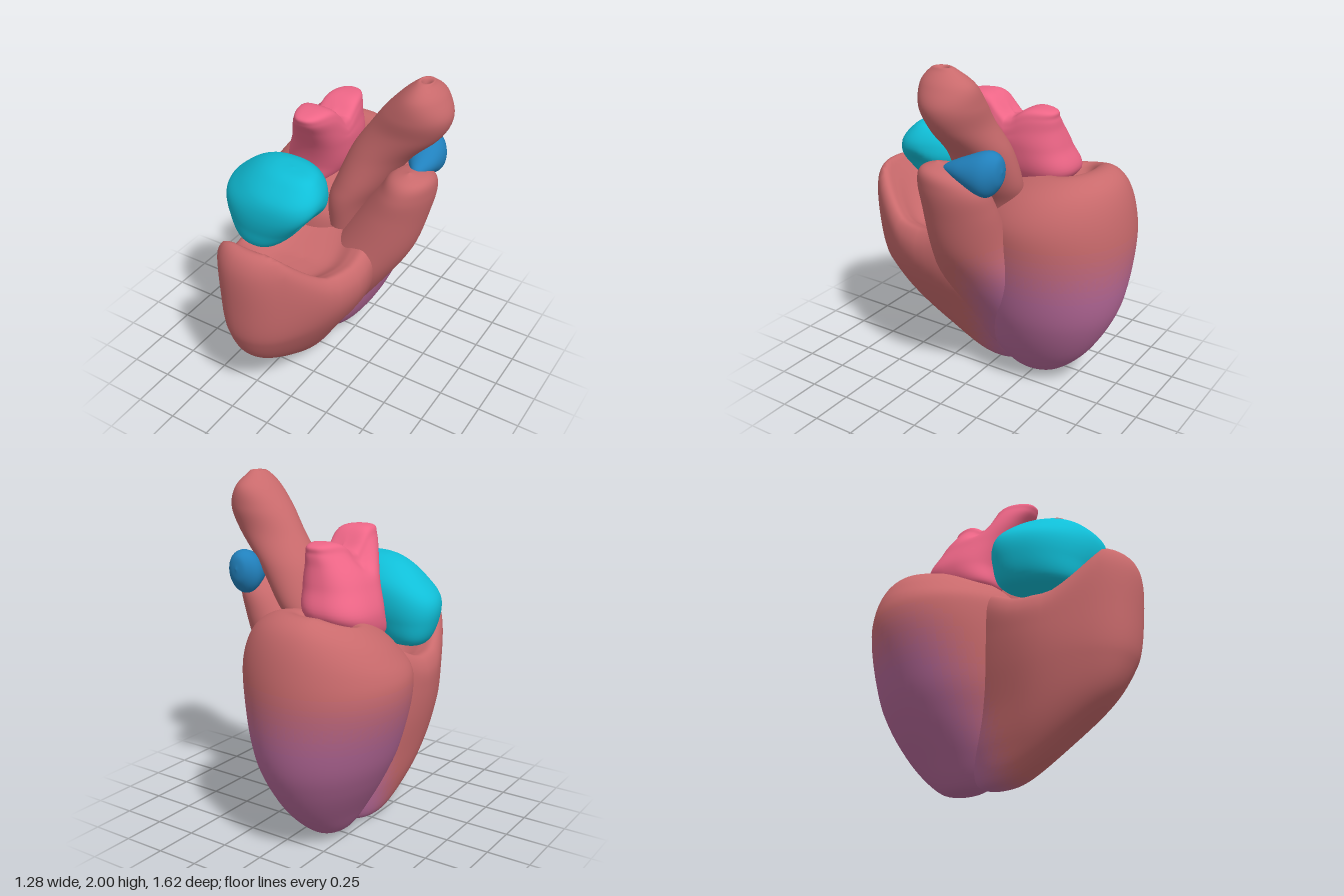
import * as THREE from 'three';

const RED = new THREE.Color(0xc96a6c);
const PURPLE = new THREE.Color(0xb56898);
const { smoothstep, clamp } = THREE.MathUtils;

// Smooth closed skin through rings [height, centreX, centreZ, radiusX, radiusZ].
// skew leans each ring sideways along z; warp moves single points.
function loft(rings, { skew = 0, power = 1, warp = null, sides = 56, steps = 8 } = {}) {
  const centres = new THREE.CatmullRomCurve3(
    rings.map(([y, x, z]) => new THREE.Vector3(x, y, z)), false, 'catmullrom', 0.5);
  const radii = new THREE.CatmullRomCurve3(
    rings.map((r) => new THREE.Vector3(r[3], r[4], 0)), false, 'catmullrom', 0.5);
  const rows = (rings.length - 1) * steps;
  const positions = [];
  const index = [];
  const bend = (v) => Math.sign(v) * Math.abs(v) ** power;
  const p = new THREE.Vector3();
  for (let i = 0; i <= rows; i++) {
    const c = centres.getPoint(i / rows);
    const r = radii.getPoint(i / rows);
    for (let j = 0; j < sides; j++) {
      const a = (j / sides) * Math.PI * 2;
      const dz = Math.max(0, r.y) * bend(Math.sin(a));
      p.set(c.x + Math.max(0, r.x) * bend(Math.cos(a)) + skew * dz, c.y, c.z + dz);
      if (warp) warp(p);
      positions.push(p.x, p.y, p.z);
      if (i === rows) continue;
      const k = (j + 1) % sides;
      const lo = i * sides;
      const hi = lo + sides;
      index.push(lo + j, hi + j, lo + k, lo + k, hi + j, hi + k);
    }
  }
  const geometry = new THREE.BufferGeometry();
  geometry.setAttribute('position', new THREE.Float32BufferAttribute(positions, 3));
  geometry.setIndex(index);
  geometry.computeVertexNormals();
  return geometry;
}

function part(name, geometry, color) {
  const mesh = new THREE.Mesh(geometry, new THREE.MeshStandardMaterial({ color }));
  mesh.name = name;
  return mesh;
}

// Splits a skin into bands that fade from red to purple low down at the back
function fadedPart(name, geometry, levels = 10) {
  const pos = geometry.attributes.position;
  const idx = geometry.index.array;
  const bands = Array.from({ length: levels + 1 }, () => []);
  for (let t = 0; t < idx.length; t += 3) {
    const tri = [idx[t], idx[t + 1], idx[t + 2]];
    const y = tri.reduce((s, v) => s + pos.getY(v) / 3, 0);
    const z = tri.reduce((s, v) => s + pos.getZ(v) / 3, 0);
    const fade = (1 - smoothstep(y, 0.6, 1.04))
      * (1 - smoothstep(z + 0.25 * (y - 0.5), -0.22, 0.1));
    bands[Math.round(fade * levels)].push(...tri);
  }
  const group = new THREE.Group();
  group.name = name;
  bands.forEach((tris, i) => {
    if (!tris.length) return;
    const band = new THREE.BufferGeometry();
    band.setAttribute('position', pos);
    band.setAttribute('normal', geometry.attributes.normal);
    band.setIndex(tris);
    group.add(part(name + 'Band', band, RED.clone().lerp(PURPLE, i / levels)));
  });
  return group;
}

export function createModel() {
  const model = new THREE.Group();
  model.name = 'heart';

  // Rear ventricle: deep rounded cone with a small hollow in its domed top
  model.add(fadedPart('rearVentricle', loft([
    [0.015, -0.16, -0.27, 0, 0],
    [0.05, -0.15, -0.26, 0.1, 0.15],
    [0.2, -0.14, -0.28, 0.21, 0.3],
    [0.4, -0.15, -0.32, 0.32, 0.39],
    [0.6, -0.165, -0.34, 0.395, 0.44],
    [0.9, -0.185, -0.355, 0.455, 0.455],
    [1.1, -0.18, -0.36, 0.445, 0.435],
    [1.25, -0.185, -0.38, 0.37, 0.36],
    [1.33, -0.2, -0.42, 0.25, 0.23],
    [1.32, -0.23, -0.44, 0.17, 0.11],
    [1.22, -0.23, -0.44, 0.12, 0.05],
    [1.18, -0.23, -0.44, 0, 0],
  ], {
    warp: (p) => {
      const top = smoothstep(p.y, 0.95, 1.3);
      p.y -= top * ((p.z + 0.48) * 0.16 + 0.25 * Math.max(0, -0.28 - p.x));
    },
  })));

  // Front ventricle: open basin, tapered forwards, with a tall lip at the front
  model.add(fadedPart('frontVentricle', loft([
    [0, -0.18, 0, 0, 0],
    [0.04, -0.18, 0.02, 0.09, 0.16],
    [0.2, -0.16, 0.1, 0.17, 0.33],
    [0.4, -0.125, 0.21, 0.255, 0.46],
    [0.6, -0.085, 0.265, 0.34, 0.51],
    [0.75, -0.06, 0.28, 0.385, 0.525],
    [0.87, -0.055, 0.285, 0.39, 0.52],
    [0.95, -0.055, 0.285, 0.345, 0.46],
    [0.94, -0.05, 0.28, 0.27, 0.39],
    [0.89, -0.04, 0.27, 0.16, 0.25],
    [0.88, -0.04, 0.27, 0, 0],
  ], {
    skew: -0.08,
    power: 0.92,
    warp: (p) => {
      p.x += (-0.08 - p.x) * 0.14 * smoothstep(p.z, 0.25, 0.65);
      const rise = smoothstep(p.y, 0.6, 0.94);
      p.y += rise * (0.25 * clamp((p.z - 0.42) / 0.28, 0, 1) ** 1.4
        + 0.13 * smoothstep(-p.z, -0.3, 0.05));
    },
  })));

  // Outflow trunk growing out of the flank and climbing sideways
  model.add(fadedPart('outflowTrunk', loft([
    [0.1, -0.12, -0.09, 0, 0],
    [0.2, -0.08, -0.09, 0.09, 0.14],
    [0.45, 0.01, -0.07, 0.155, 0.24],
    [0.7, 0.12, -0.045, 0.21, 0.265],
    [0.95, 0.255, -0.05, 0.22, 0.225],
    [1.2, 0.37, -0.06, 0.18, 0.21],
    [1.35, 0.435, -0.055, 0.145, 0.195],
    [1.44, 0.46, -0.025, 0.105, 0.13],
    [1.48, 0.465, 0.01, 0, 0],
  ])));

  // Main artery, leaning outwards, with a small pit in its end
  model.add(part('mainArtery', loft([
    [1.0, 0.05, -0.07, 0.1, 0.14],
    [1.17, 0.08, -0.08, 0.13, 0.18],
    [1.3, 0.14, -0.1, 0.15, 0.195],
    [1.5, 0.245, -0.11, 0.175, 0.175],
    [1.67, 0.38, -0.095, 0.2, 0.155],
    [1.8, 0.455, -0.085, 0.185, 0.165],
    [1.91, 0.485, -0.08, 0.12, 0.15],
    [1.98, 0.495, -0.065, 0.055, 0.08],
    [1.995, 0.5, -0.065, 0.03, 0.035],
    [1.94, 0.48, -0.07, 0, 0],
  ]), RED));

  // Front atrium: blunt bean resting in the basin, dented at its end
  model.add(part('frontAtrium', loft([
    [1.03, -0.28, 0.32, 0, 0],
    [1.05, -0.28, 0.32, 0.14, 0.18],
    [1.18, -0.235, 0.32, 0.25, 0.23],
    [1.3, -0.175, 0.325, 0.31, 0.245],
    [1.4, -0.12, 0.33, 0.27, 0.225],
    [1.48, -0.08, 0.335, 0.2, 0.155],
    [1.52, -0.05, 0.345, 0.12, 0.085],
    [1.53, -0.04, 0.35, 0, 0],
  ], {
    skew: 0.36,
    power: 0.88,
    warp: (p) => {
      const d = ((p.y - 1.27) / 0.07) ** 2 + ((p.z - 0.42) / 0.07) ** 2;
      if (p.x > -0.1) p.x -= 0.06 * Math.exp(-d);
    },
  }), 0x10bfd8));

  // Rear atrium: wide foot narrowing to a ridge with a blunt hump at each end
  model.add(part('rearAtrium', loft([
    [1.13, -0.25, -0.13, 0, 0],
    [1.17, -0.25, -0.14, 0.12, 0.13],
    [1.3, -0.205, -0.23, 0.195, 0.22],
    [1.45, -0.16, -0.19, 0.18, 0.225],
    [1.58, -0.13, -0.14, 0.15, 0.25],
    [1.67, -0.105, -0.105, 0.12, 0.275],
    [1.72, -0.1, -0.1, 0.09, 0.25],
    [1.735, -0.1, -0.1, 0, 0],
  ], {
    power: 0.8,
    warp: (p) => {
      const dip = 0.1 * Math.exp(-(((p.z + 0.11) / 0.08) ** 2));
      p.y -= (dip + 0.05 * smoothstep(-p.z, 0, 0.25)) * smoothstep(p.y, 1.45, 1.7);
    },
  }), 0xee6687));

  // Small side auricle, lofted along z (ring z is minus height)
  model.add(part('sideAuricle', loft([
    [-0.37, 0.43, -1.48, 0, 0],
    [-0.35, 0.43, -1.475, 0.06, 0.08],
    [-0.28, 0.435, -1.455, 0.105, 0.125],
    [-0.16, 0.455, -1.46, 0.085, 0.075],
    [-0.06, 0.47, -1.455, 0.035, 0.03],
    [-0.03, 0.475, -1.45, 0, 0],
  ], { sides: 32 }).rotateX(Math.PI / 2), 0x2181bd));

  return model;
}
